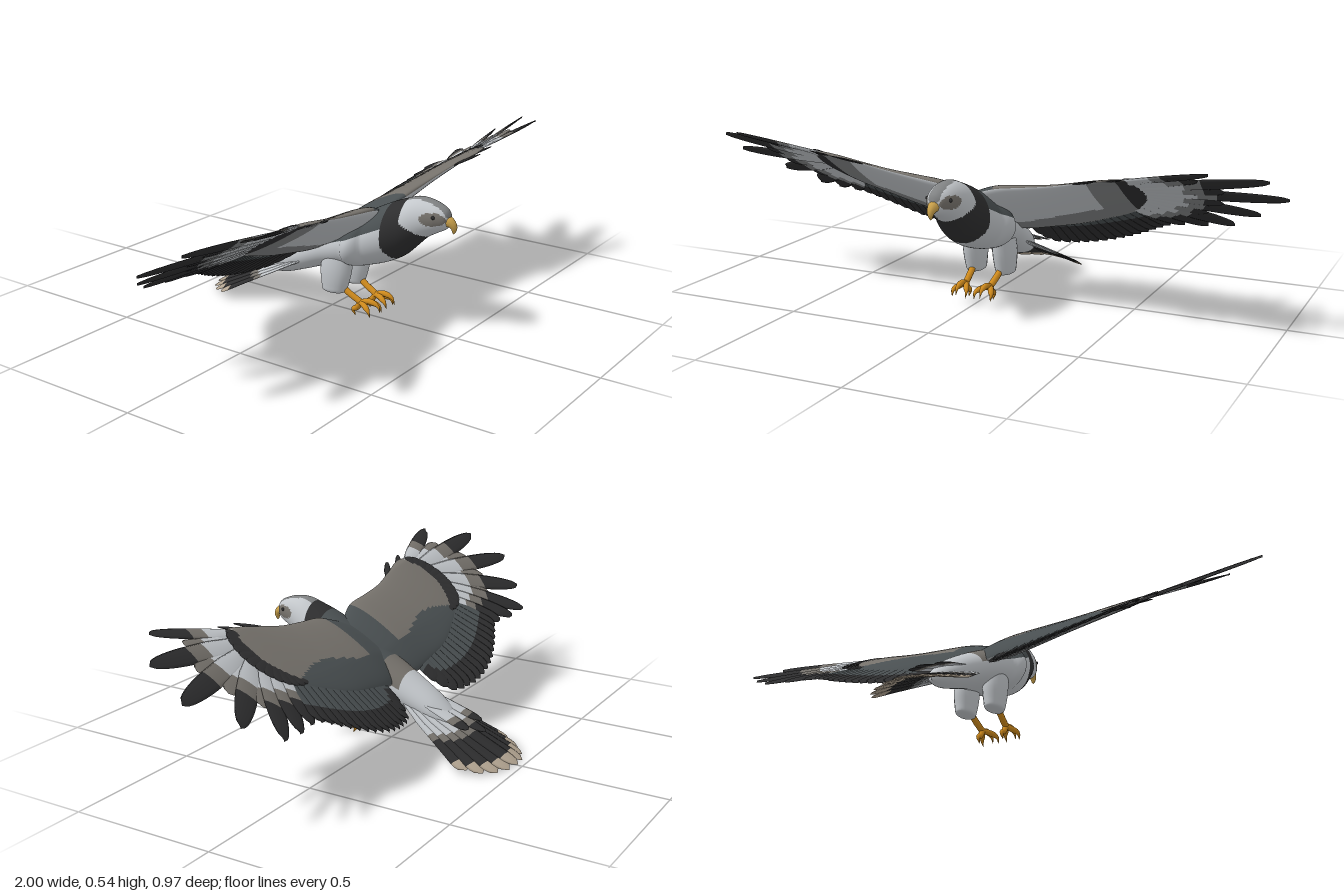
import * as THREE from 'three';

const mat = (name, color) => Object.assign(new THREE.MeshStandardMaterial({ color }), { name });
const M = {
  light: mat('pale grey', 0xc3c7cb), grey: mat('mid grey', 0x808283), taupe: mat('taupe', 0x76726c),
  slate: mat('slate', 0x4a5052), dark: mat('charcoal', 0x2e2e2f), tan: mat('tan', 0xb3a592),
  orange: mat('leg orange', 0xcf8a1c), beak: mat('beak yellow', 0xc9a04a),
};

// Closed lofted surface: at(u, angle) gives a point, paint(u, angle, point) a colour key
function loft(name, nu, nv, at, paint, side = 1) {
  const pos = [], faces = {};
  for (let i = 0; i <= nu; i++) for (let j = 0; j < nv; j++) {
    const p = at(i / nu, (j / nv) * Math.PI * 2);
    pos.push(p[0] * side, p[1], p[2]);
  }
  for (let i = 0; i < nu; i++) for (let j = 0; j < nv; j++) {
    const u = (i + 0.5) / nu, v = ((j + 0.5) / nv) * Math.PI * 2;
    const key = paint(u, v, at(u, v));
    const k = (j + 1) % nv, a = i * nv + j, b = a + nv, c = (i + 1) * nv + k, d = i * nv + k;
    (faces[key] ??= []).push(...(side > 0 ? [a, b, c, a, c, d] : [a, c, b, a, d, c]));
  }
  const g = new THREE.BufferGeometry(), index = [], mats = [];
  for (const key in faces) {
    g.addGroup(index.length, faces[key].length, mats.length);
    for (const f of faces[key]) index.push(f);
    mats.push(M[key]);
  }
  g.setAttribute('position', new THREE.Float32BufferAttribute(pos, 3));
  g.setIndex(index);
  g.computeVertexNormals();
  const mesh = new THREE.Mesh(g, mats);
  mesh.name = name;
  return mesh;
}

// Smooth interpolation through the rows of a four-column table
function spline(rows) {
  const a = new THREE.CatmullRomCurve3(rows.map(r => new THREE.Vector3(r[0], r[1], r[2])));
  const b = new THREE.CatmullRomCurve3(rows.map(r => new THREE.Vector3(r[3], 0, 0)));
  return u => { const p = a.getPoint(u); return [p.x, p.y, p.z, Math.max(0, b.getPoint(u).x)]; };
}

// Tapered tube along a curve
function tube(name, points, radius, color, side = 1) {
  const n = 14, curve = new THREE.CatmullRomCurve3(points.map(p => new THREE.Vector3(...p)));
  const f = curve.computeFrenetFrames(n);
  return loft(name, n, 10, (u, v) => {
    const i = Math.round(u * n - 0.01);
    return curve.getPointAt(u).addScaledVector(f.normals[i], radius(u) * Math.cos(v))
      .addScaledVector(f.binormals[i], -radius(u) * Math.sin(v)).toArray();
  }, () => color, side);
}

// Colour bands along a feather: [end, colour] pairs
const bands = list => u => list.find(b => u <= b[0])[1];

// Thin feather laid on a height field, from base to tip in (x, z)
function feather(name, height, base, tip, o, side = 1) {
  const dx = tip[0] - base[0], dz = tip[1] - base[1], len = Math.hypot(dx, dz);
  const taper = o.taper ?? 0.85, t = o.thick ?? 0.0035;
  return loft(name, 24, 8, (u, v) => {
    const end = Math.sqrt(Math.max(0, 1 - Math.max(0, (u - taper) / (1 - taper)) ** 2));
    const w = o.width * Math.min(1, 0.6 + u * 1.2) * end, c = Math.cos(v);
    const x = base[0] + dx * u - (dz / len) * w * c, z = base[1] + dz * u + (dx / len) * w * c;
    const lift = (o.lift ?? 0) + (o.rise ?? 0) * u + (o.roll ?? 0) * c;
    return [x, height(x, z) + lift + t * Math.sin(v) * end, z];
  }, (u, v) => (Math.sin(v) > 0 ? o.top(u) : (o.under ?? o.top)(u)), side);
}

// Wing plane with a drooping inner trailing edge and a flatter leading finger
const wingHeight = (x, z) => 0.415 + 0.6 * (z - 0.24) + 0.13 * x
  - 0.2 * Math.max(0, 0.03 - z) * Math.max(0, 1 - x / 0.55) - 0.3 * Math.max(0, z - 0.25);
// Arched tail
const tailHeight = (x, z) => 0.182 + 0.45 * (z + 0.1) - 0.8 * x * x;

function makeWing(side) {
  const wing = new THREE.Group();
  wing.name = side > 0 ? 'leftWing' : 'rightWing';

  // Fleshy arm: x, leading z, trailing z, half thickness
  const arm = spline([[0, 0.2, -0.03, 0.03], [0.1, 0.235, -0.05, 0.04], [0.2, 0.237, -0.05, 0.034],
    [0.3, 0.24, -0.045, 0.026], [0.4, 0.257, -0.02, 0.02], [0.5, 0.28, 0.02, 0.015],
    [0.56, 0.265, 0.08, 0.01], [0.6, 0.2, 0.13, 0.002]]);
  wing.add(loft('wingArm', 90, 80, (u, v) => {
    const [x, lead, trail, t] = arm(u);
    const z = (lead + trail) / 2 + ((lead - trail) / 2) * Math.cos(v);
    return [x, wingHeight(x, z) + t * Math.sin(v), z];
  }, (u, v, [x, , z]) => {
    if (Math.sin(v) < 0) {
      if (x > 0.52) return 'dark';
      return z < 0.03 + 0.15 * x || x > 0.42 ? 'grey' : 'light';
    }
    if (x > 0.55) return 'dark';
    return x > 0.09 && z > 0.045 - 0.02 * Math.sin(x * 14) ? 'taupe' : 'slate';
  }, side));

  // Secondary flight feathers
  const edge = new THREE.CatmullRomCurve3([[0.135, -0.11], [0.16, -0.16], [0.24, -0.185], [0.33, -0.19],
    [0.42, -0.175], [0.5, -0.145], [0.58, -0.105]].map(p => new THREE.Vector3(p[0], 0, p[1])));
  const n = 16;
  for (let i = 0; i < n; i++) {
    const f = i / (n - 1), tip = edge.getPointAt(f);
    wing.add(feather('secondaryFeather', wingHeight, [0.12 + 0.38 * f, 0.06 + 0.03 * f], [tip.x, tip.z], {
      width: 0.026, roll: 0.003, thick: 0.005,
      top: bands([[0.72, 'slate'], [1, 'dark']]), under: bands([[0.5, 'slate'], [1, 'dark']]),
    }, side));
  }

  // Primary feathers fanning from the wrist into separate fingers
  const tips = [[0.63, -0.1], [0.705, -0.115], [0.79, -0.12], [0.89, -0.045], [1, 0.067], [0.967, 0.205], [0.82, 0.335]];
  tips.forEach((tip, i) => {
    const f = i / 6;
    wing.add(feather('primaryFeather', wingHeight, [0.5 + 0.05 * Math.sin(f * 3), 0.08 + 0.16 * f], tip, {
      width: 0.034 - 0.007 * f, taper: 0.55, roll: 0.004, thick: 0.006,
      top: bands([[0.42, 'light'], [0.58, 'taupe'], [1, 'dark']]),
      under: bands([[0.4, 'light'], [0.55, 'grey'], [1, 'dark']]),
    }, side));
  });
  // Shorter feathers filling the hand between the fingers
  for (let i = 0; i < 6; i++) {
    const a = [tips[i], tips[i + 1]], f = (i + 0.5) / 6, base = [0.52, 0.08 + 0.15 * f];
    const tip = [0, 1].map(k => base[k] + ((a[0][k] + a[1][k]) / 2 - base[k]) * 0.66);
    wing.add(feather('handFeather', wingHeight, base, tip, {
      width: 0.028, lift: -0.003, top: bands([[0.65, 'light'], [1, 'taupe']]),
      under: bands([[0.6, 'light'], [0.8, 'grey'], [1, 'dark']]),
    }, side));
  }

  // Dark covert fringe around the wrist, then the small thumb feathers
  for (let i = 0; i < 13; i++) {
    const a = -1.75 + (i / 12) * 2.75;
    wing.add(feather('covertFeather', wingHeight, [0.49 + 0.04 * Math.cos(a), 0.15 + 0.05 * Math.sin(a)],
      [0.49 + 0.125 * Math.cos(a), 0.15 + 0.135 * Math.sin(a)],
      { width: 0.018, lift: 0.007, top: () => 'dark' }, side));
  }
  for (const x of [0.47, 0.55]) wing.add(feather('thumbFeather', wingHeight, [x - 0.1, 0.24], [x, 0.302],
    { width: 0.012, taper: 0.4, top: () => 'dark' }, side));
  return wing;
}

function makeLeg(side) {
  const leg = new THREE.Group();
  leg.name = side > 0 ? 'leftLeg' : 'rightLeg';
  // Feathered thigh: y, centre z, half width, half depth
  const thigh = spline([[0.3, 0.09, 0.015, 0.03], [0.25, 0.07, 0.03, 0.058], [0.18, 0.056, 0.038, 0.06],
    [0.12, 0.05, 0.034, 0.051], [0.097, 0.047, 0.028, 0.045], [0.09, 0.046, 0, 0]]);
  leg.add(loft('thigh', 24, 20, (u, v) => {
    const [y, cz, rx, rz] = thigh(u);
    return [0.055 + rx * Math.cos(v), y, cz - rz * Math.sin(v)];
  }, () => 'light', side));
  leg.add(tube('shank', [[0.052, 0.13, 0.06], [0.05, 0.1, 0.1], [0.045, 0.07, 0.155]], () => 0.011, 'orange', side));
  // Toes with hooked claws
  const toes = [[0.016, 0.062, 0.205], [0.044, 0.072, 0.218], [0.07, 0.058, 0.195], [0.045, 0.04, 0.12]];
  for (const [x, y, z] of toes) leg.add(tube('toe', [[0.045, 0.072, 0.15],
    [(x + 0.045) / 2, y + 0.01, (z + 0.15) / 2], [x, y, z], [x, y - 0.022, z + 0.009]],
  u => 0.01 * Math.min(1, (1 - u) * 2.2), 'orange', side));
  return leg;
}

export function createModel() {
  const bird = new THREE.Group();
  bird.name = 'bird';

  // Head and body in one skin: z, top, bottom, half width
  const body = spline([[0.462, 0.415, 0.405, 0], [0.45, 0.442, 0.38, 0.026], [0.42, 0.458, 0.362, 0.043],
    [0.38, 0.468, 0.338, 0.055], [0.34, 0.468, 0.3, 0.068], [0.3, 0.455, 0.262, 0.08], [0.25, 0.435, 0.232, 0.094],
    [0.18, 0.4, 0.205, 0.105], [0.1, 0.355, 0.187, 0.105], [0, 0.305, 0.165, 0.09], [-0.1, 0.25, 0.128, 0.072],
    [-0.18, 0.2, 0.1, 0.06], [-0.24, 0.15, 0.09, 0.035], [-0.28, 0.105, 0.09, 0]]);
  bird.add(loft('body', 150, 64, (u, v) => {
    const [z, top, bottom, w] = body(u);
    return [w * Math.cos(v), (top + bottom) / 2 + ((top - bottom) / 2) * Math.sin(v), z];
  }, (u, v, [x, y, z]) => {
    const up = Math.sin(v);
    // Slanted collar, crown stripe and eye patch
    const back = 0.25 + Math.max(0, 0.3 - y) * 0.5;
    const front = 0.31 + 0.075 * Math.min(1, Math.max(0, (0.39 - y) / 0.045));
    if (z > back && z < front) return 'dark';
    if (z > 0.3) {
      if (Math.abs(x) < 0.02 && up > 0.5) return 'grey';
      return ((z - 0.415) / 0.04) ** 2 + ((y - 0.413) / 0.022) ** 2 < 1 ? 'taupe' : 'light';
    }
    if (up < 0.25 || z < -0.07) return 'light';
    return z < 0.01 ? 'taupe' : 'slate';
  }));

  // Hooked beak and eyes
  bird.add(tube('beak', [[0, 0.402, 0.435], [0, 0.403, 0.458], [0, 0.39, 0.473], [0, 0.366, 0.474]],
    u => 0.025 * Math.sqrt(1 - u) * (1 - 0.3 * u), 'beak'));
  for (const s of [1, -1]) {
    const eye = new THREE.Mesh(new THREE.SphereGeometry(0.006, 12, 8), M.dark);
    eye.name = s > 0 ? 'leftEye' : 'rightEye';
    eye.position.set(0.041 * s, 0.421, 0.42);
    bird.add(eye, makeWing(s), makeLeg(s));
  }

  // Fanned tail with pale base, dark band and tan tips
  const tail = new THREE.Group();
  tail.name = 'tail';
  for (let i = -4; i <= 4; i++) {
    const f = i / 4, a = f * 0.46, len = 0.405 - 0.075 * f * f;
    tail.add(feather('tailFeather', tailHeight, [f * 0.045, -0.08], [f * 0.01 + Math.sin(a) * len, -0.08 - Math.cos(a) * len], {
      width: 0.033, taper: 0.88, thick: 0.005, lift: 0.006 - Math.abs(f) * 0.016,
      top: bands([[0.5, 'light'], [0.6, 'taupe'], [0.86, 'dark'], [1, 'tan']]),
      under: bands([[0.45, 'light'], [0.55, 'grey'], [0.82, 'dark'], [1, 'tan']]),
    }));
  }
  // Upper tail coverts
  for (const i of [-1, 0, 1]) tail.add(feather('tailCovert', tailHeight, [i * 0.03, -0.12],
    [i * 0.05, -0.365 + Math.abs(i) * 0.04], {
      width: 0.03, taper: 0.7, lift: 0.022, rise: 0.02, top: bands([[0.65, 'light'], [0.8, 'taupe'], [1, 'dark']]),
    }));
  bird.add(tail);
  return bird;
}
